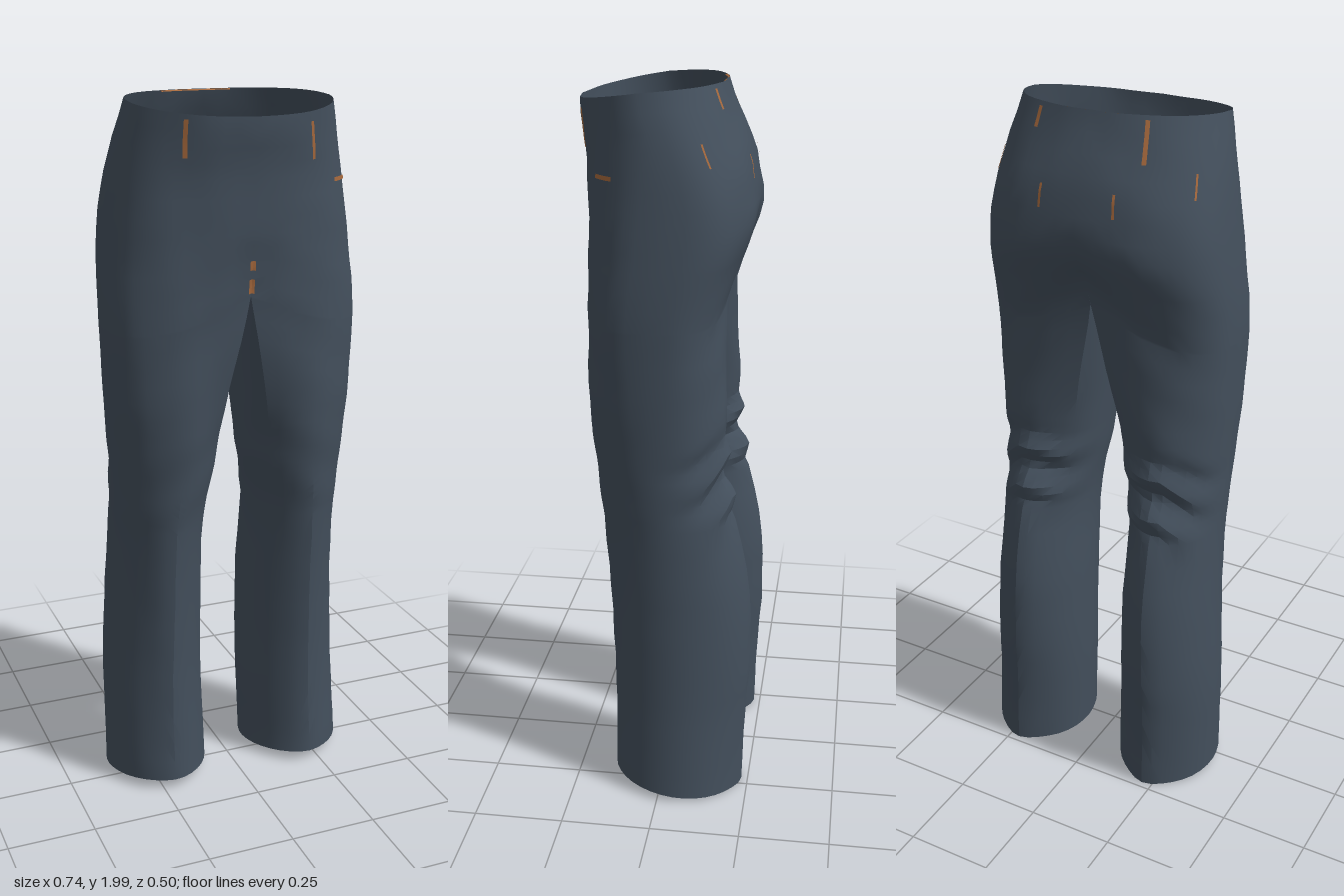
import * as THREE from 'three';
import { toCreasedNormals } from 'three/addons/utils/BufferGeometryUtils.js';

// Body outline: [height, outer x, inner x, front z, back z]
const PROFILE = [
  [0.01, 0.368, 0.070, 0.142, -0.230],
  [0.20, 0.362, 0.070, 0.139, -0.236],
  [0.40, 0.355, 0.072, 0.142, -0.251],
  [0.60, 0.344, 0.073, 0.152, -0.247],
  [0.80, 0.336, 0.078, 0.168, -0.212],
  [0.90, 0.338, 0.066, 0.180, -0.186],
  [1.00, 0.340, 0.048, 0.192, -0.170],
  [1.20, 0.350, 0.024, 0.214, -0.172],
  [1.40, 0.355, 0.000, 0.232, -0.184],
  [1.50, 0.352, 0.000, 0.230, -0.210],
  [1.60, 0.344, 0.000, 0.225, -0.238],
  [1.68, 0.336, 0.000, 0.222, -0.248],
  [1.80, 0.322, 0.000, 0.225, -0.223],
  [1.90, 0.306, 0.000, 0.236, -0.182],
  [1.96, 0.293, 0.000, 0.245, -0.154],
  [2.00, 0.284, 0.000, 0.246, -0.140],
];
const CROTCH = 1.4, OUTER = 24, INNER = 8, RING = OUTER + INNER;
const { smoothstep, lerp } = THREE.MathUtils;
const power = (v, p) => Math.sign(v) * Math.abs(v) ** p;

function sample(y) {
  let i = 0;
  while (i < PROFILE.length - 2 && y > PROFILE[i + 1][0]) i++;
  const a = PROFILE[i], b = PROFILE[i + 1], f = (y - a[0]) / (b[0] - a[0]);
  return a.map((v, k) => lerp(v, b[k], f));
}

// Point on the left half. u 0..1 runs front, outside, back; 1..2 returns along the inner thigh.
function surface(u, y, offset = 0) {
  const [, out, inn, zf, zb] = sample(y);
  const mid = (zf + zb) / 2, depth = (zf - zb) / 2;
  const outer = u <= 1, t = Math.PI * u, w = outer ? Math.cos(t) : 2 * (u - 1) - 1;
  // half-hip section, boxy at the thigh and pointed at the front of the waist
  const round = lerp(0.65, w > 0 ? 1.15 : 0.85, smoothstep(y, 1.65, 2));
  let x = inn + (outer ? (out - inn) * Math.max(0, Math.sin(t)) ** 0.88 : 0);
  let z = mid + depth * (outer ? power(w, round) : w);
  const seam = outer ? (1 - Math.sin(t)) ** 2 : w * w;
  const near = smoothstep(y, 1.1, CROTCH) * (1 - smoothstep(y, CROTCH, 1.72));
  z -= Math.sign(w) * 0.035 * near * seam;
  // closed leg section with a pressed crease
  const leg = 1 - smoothstep(y, 1.08, CROTCH + 0.02);
  const deg = outer ? lerp(-45, 225, u) : lerp(225, 315, u - 1);
  const a = deg * Math.PI / 180, c = Math.cos(a);
  const thigh = smoothstep(y, 0.8, 1.2);
  const lx = (out + inn) / 2 + (out - inn) / 2 * power(Math.sin(a), lerp(1, 0.9, thigh));
  const lz = mid + depth * (0.94 * power(c, lerp(1.05, 0.85, thigh)) + 0.06 * power(c, 15));
  x = lerp(x, lx, leg);
  z = lerp(z, lz, leg);
  // gathered folds behind the knee
  const back = Math.max(0, lerp(-w, -c, leg));
  const knee = smoothstep(y, 0.78, 0.88) * (1 - smoothstep(y, 1.0, 1.12));
  z += 0.015 * knee * back * Math.sin(y * 52 + x * 14 + 1.5 * Math.sin(x * 22));
  // slight cloth unevenness
  z += 0.003 * Math.sin(x * 31 + y * 17) * Math.sin(y * 23 - x * 11);
  // seat cleft, crotch curve, lower front waist, raised front hem
  if (outer) z += 0.01 * smoothstep(y, 1.4, 1.6) * (1 - smoothstep(y, 1.65, 1.85)) * Math.max(0, -w) ** 20;
  let h = y + 0.09 * near * seam;
  h -= 0.042 * Math.max(0, (y - 1.8) / 0.2) * ((w + 1) / 2) ** 2;
  h += 0.03 * (1 - smoothstep(y, 0.01, 0.15)) * (c + 1) / 2;
  const n = Math.hypot(x, z - mid) || 1;
  return [x + offset * x / n, h, z + offset * (z - mid) / n];
}

const shift = (y) => -0.009 * smoothstep(y, 0, 0.35);
const place = ([x, y, z], side) => [side * x + shift(y), y, z];

function finish(positions, indices) {
  const g = new THREE.BufferGeometry();
  g.setAttribute('position', new THREE.Float32BufferAttribute(positions, 3));
  g.setIndex(indices);
  return toCreasedNormals(g, 0.4);
}

// Both legs and the hips, open at waist and hems
function trousersGeometry() {
  const heights = [];
  for (let y = 0.01; y < 1.999;) {
    heights.push(y);
    if (y < 0.76) y += 0.075;
    else if (y < 1.12) y += 0.024;
    else if (y < CROTCH - 0.001) y = Math.min(CROTCH, y + 0.045);
    else y += 0.05;
  }
  heights.push(2);
  const positions = [], indices = [];
  for (const side of [1, -1]) {
    const base = positions.length / 3;
    for (const y of heights) {
      for (let i = 0; i < RING; i++) {
        const u = i <= OUTER ? i / OUTER : 1 + (i - OUTER) / INNER;
        positions.push(...place(surface(u, y), side));
      }
    }
    for (let r = 0; r < heights.length - 1; r++) {
      // no inner wall above the crotch
      const count = heights[r] < CROTCH - 0.001 ? RING : OUTER;
      for (let i = 0; i < count; i++) {
        const j = (i + 1) % RING;
        const a = base + r * RING + i, b = base + r * RING + j;
        const d = a + RING, e = b + RING;
        if (side > 0) indices.push(a, b, e, a, e, d);
        else indices.push(a, e, b, a, d, e);
      }
    }
  }
  return finish(positions, indices);
}

// Thin patch on the cloth; lean moves its top edge round the body, o0 and o1 are its offsets
function patchGeometry(side, u0, u1, y0, y1, o0, o1, lean) {
  const positions = [], indices = [], nu = 4, ny = 6;
  for (let r = 0; r <= ny; r++) {
    for (let i = 0; i <= nu; i++) {
      const f = r / ny, u = lerp(u0, u1, i / nu) + lean * f;
      positions.push(...place(surface(u, lerp(y0, y1, f), lerp(o0, o1, f)), side));
    }
  }
  for (let r = 0; r < ny; r++) {
    for (let i = 0; i < nu; i++) {
      const a = r * (nu + 1) + i, d = a + nu + 1;
      if (side > 0) indices.push(a, a + 1, d + 1, a, d + 1, d);
      else indices.push(a, d + 1, a + 1, a, d, d + 1);
    }
  }
  return finish(positions, indices);
}

export function createModel() {
  const group = new THREE.Group();
  group.name = 'trousers';
  const cloth = new THREE.MeshStandardMaterial({ color: 0x434f5c, side: THREE.DoubleSide });
  cloth.name = 'slate cloth';
  const thread = new THREE.MeshStandardMaterial({ color: 0xa5683c, side: THREE.DoubleSide });
  thread.name = 'orange thread';

  const add = (name, geometry, material) => {
    const mesh = new THREE.Mesh(geometry, material);
    mesh.name = name;
    group.add(mesh);
  };
  const patch = (name, side, u0, u1, y0, y1, o0 = 0.005, o1 = o0, lean = 0) =>
    add(name, patchGeometry(side, u0, u1, y0, y1, o0, o1, lean), thread);

  add('legsAndHips', trousersGeometry(), cloth);

  // Front belt loops
  patch('frontBeltLoop', -1, 0.174, 0.188, 1.87, 1.985, 0.005, 0.005, 0.016);
  patch('frontBeltLoop', 1, 0.156, 0.168, 1.85, 1.97);
  for (const side of [1, -1]) {
    // Back and side belt loops
    patch('backBeltLoop', side, 0.836, 0.85, side > 0 ? 1.94 : 1.89, 1.99);
    patch('sideBeltLoop', side, 0.664, 0.672, 1.81, 1.87);
    // Seat and crotch stitching, the crotch seam showing on both faces of the cloth
    patch('seatStitch', side, 0.908, 0.915, 1.76, 1.82);
    patch('crotchStitch', side, 0, 0.004, 1.41, 1.455);
    patch('crotchStitch', side, 0, 0.004, 1.49, 1.53);
    patch('innerCrotchStitch', side, 0, 0.006, 1.405, 1.53, -0.005);
    // Flat strip along the back waist edge
    patch('waistStitch', side, side > 0 ? 0.93 : 0.86, 1, 1.996, 1.999, -0.007, 0);
  }
  // Left pocket edge
  patch('pocketStitch', 1, 0.26, 0.35, 1.775, 1.786);
  return group;
}
